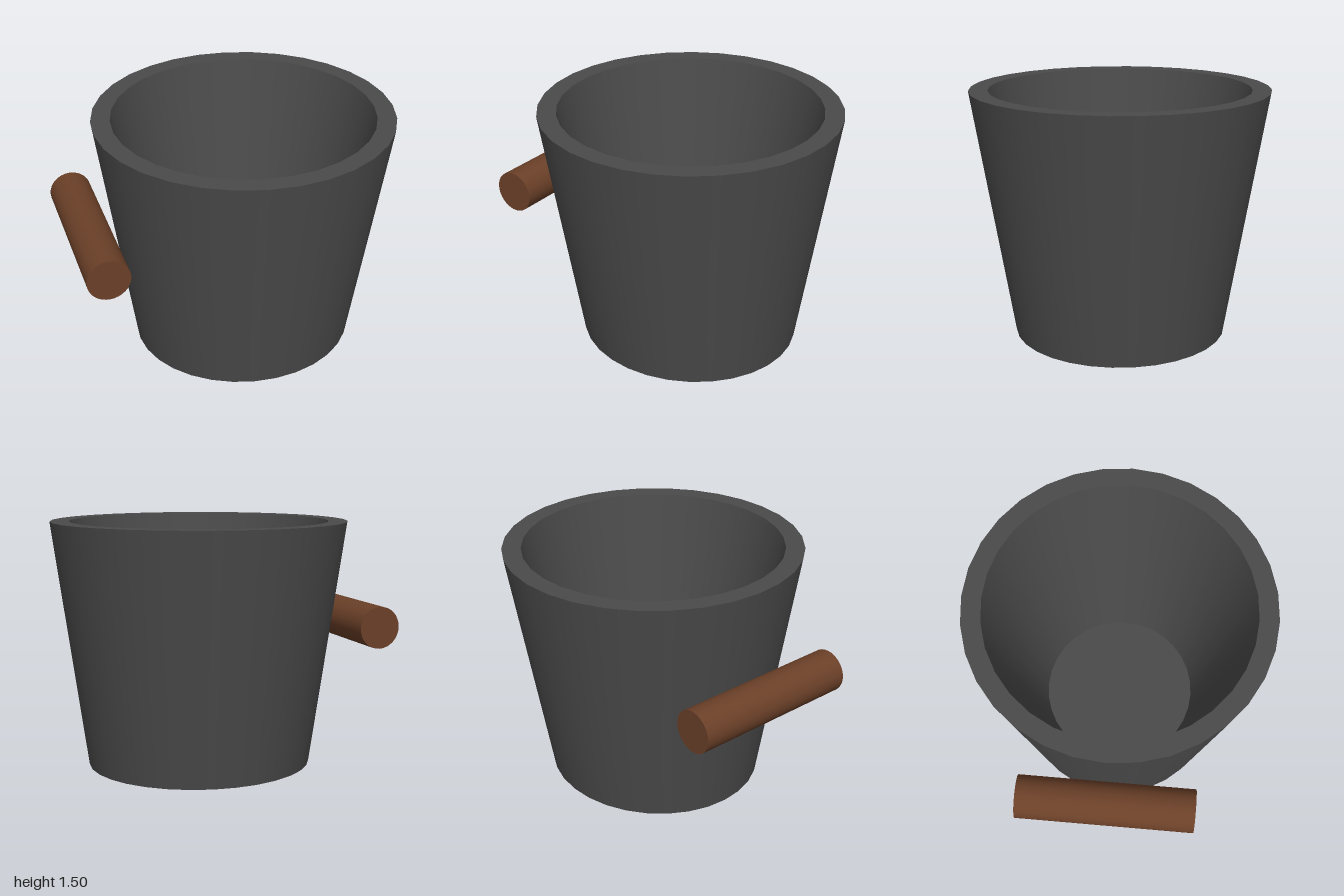
import * as THREE from 'three';

const SEGMENTS = 32;
const HEIGHT = 1.5;

export function createModel() {
  const iron = new THREE.MeshStandardMaterial({ name: 'dark iron', color: 0x4a4a4a });
  const wood = new THREE.MeshStandardMaterial({ name: 'brown wood', color: 0x6b4028 });

  const model = new THREE.Group();
  model.name = 'bucketWithHandle';

  // Bucket: rings of [radius, height, depth ratio], from under the base, over the rim, to the floor
  const bucket = new THREE.Group();
  bucket.name = 'bucket';
  bucket.position.x = 0.1;
  const rings = [
    [0, 0, 1],
    [0.69, 0, 0.94],
    [0.9, HEIGHT, 1],
    [0.786, HEIGHT, 1],
    [0.489, 0.12, 0.984],
    [0, 0.12, 1],
  ];
  const names = ['underside', 'outerWall', 'rim', 'innerWall', 'floor'];

  // Each band is its own lathe, so edges between bands stay sharp
  names.forEach((name, i) => {
    const pair = [rings[i], rings[i + 1]];
    const points = pair.map(([r, y]) => new THREE.Vector2(r, y));
    const geometry = new THREE.LatheGeometry(points, SEGMENTS);
    const pos = geometry.attributes.position;
    // The base is slightly narrower from front to back
    for (let v = 0; v < pos.count; v++) pos.setZ(v, pos.getZ(v) * pair[v % 2][2]);
    const mesh = new THREE.Mesh(geometry, iron);
    mesh.name = name;
    bucket.add(mesh);
  });
  model.add(bucket);

  // Round wooden bar beside the bucket
  const handle = new THREE.Mesh(new THREE.CylinderGeometry(0.128, 0.128, 1.05, SEGMENTS), wood);
  handle.name = 'handle';
  handle.rotation.x = Math.PI / 2;
  handle.position.set(-0.872, 0.863, 0);
  model.add(handle);

  return model;
}
